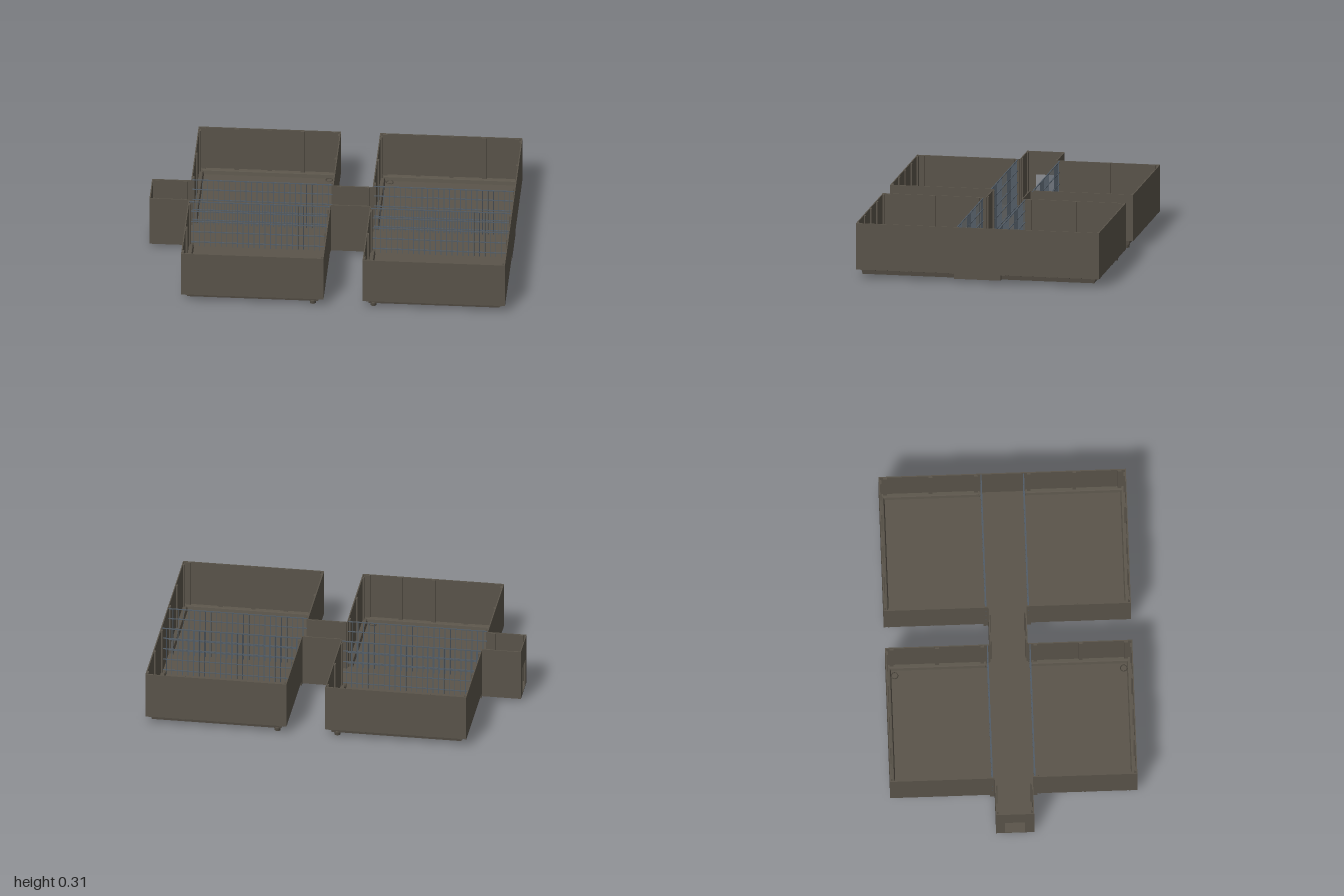
import * as THREE from 'three';

const TOP = 0.31, STEP = 0.05, BASE = 0.02, T = 0.006;
const OUT = 0.68, JAMB = 0.13, HALL = 0.105;

export function createModel() {
  const model = new THREE.Group();
  const concrete = new THREE.MeshStandardMaterial({ color: 0x5a544a, side: THREE.DoubleSide });
  concrete.name = 'brown grey concrete';
  const steel = new THREE.MeshStandardMaterial({ color: 0x525c66 });
  steel.name = 'blue grey steel';

  const add = (parent, name, geo, mat = concrete) => {
    const mesh = new THREE.Mesh(geo, mat);
    mesh.name = name;
    parent.add(mesh);
    return mesh;
  };
  // Box given by its limits on each axis
  const box = (parent, name, xa, xb, ya, yb, za, zb, mat) => {
    const x0 = Math.min(xa, xb), x1 = Math.max(xa, xb), z0 = Math.min(za, zb), z1 = Math.max(za, zb);
    return add(parent, name, new THREE.BoxGeometry(x1 - x0, yb - ya, z1 - z0), mat)
      .position.set((x0 + x1) / 2, (ya + yb) / 2, (z0 + z1) / 2);
  };

  // Stepped skirt running round three sides of a room
  const skirt = (x0, x1, s) => {
    const pos = [], index = [];
    const profile = [[0, STEP], [0.021, 0.046], [0.026, 0.044], [0.032, BASE]];
    for (const [d, y] of profile) {
      const z = s * (OUT - d);
      pos.push(x0 + d, y, s * JAMB, x0 + d, y, z, x1 - d, y, z, x1 - d, y, s * JAMB);
    }
    for (let r = 0; r < profile.length - 1; r++) {
      for (let c = 0; c < 3; c++) {
        const a = r * 4 + c;
        index.push(a, a + 1, a + 5, a, a + 5, a + 4);
      }
    }
    const geo = new THREE.BufferGeometry();
    geo.setAttribute('position', new THREE.Float32BufferAttribute(pos, 3));
    geo.setIndex(index);
    const flat = geo.toNonIndexed();
    flat.computeVertexNormals();
    return flat;
  };

  // Barred screen between a room and the hall
  const screen = (parent, x0, x1, z) => {
    const group = new THREE.Group();
    group.name = 'barredScreen';
    parent.add(group);
    for (const y of [0.05, 0.115, 0.18, 0.245, 0.306]) {
      box(group, 'rail', x0, x1, y - 0.002, y + 0.002, z - 0.003, z + 0.003, steel);
    }
    const n = 26;
    for (let i = 1; i < n; i++) {
      const x = x0 + (x1 - x0) * i / n;
      box(group, 'bar', x - 0.002, x + 0.002, BASE, TOP - 0.002, z - 0.002, z + 0.002, steel);
    }
  };

  const drainProfile = [[0.014, 0], [0.017, 0], [0.017, 0.012], [0.021, 0.015], [0.021, 0.027], [0.016, 0.027], [0.014, 0]]
    .map(([r, y]) => new THREE.Vector2(r, y));

  const room = (x0, x1, s, drainX) => {
    const g = new THREE.Group();
    g.name = 'room';
    model.add(g);
    // Walls
    box(g, 'outerWall', x0, x1, STEP, TOP, s * (OUT - T), s * OUT);
    box(g, 'sideWall', x0, x0 + T, STEP, TOP, s * JAMB, s * OUT);
    box(g, 'sideWall', x1 - T, x1, STEP, TOP, s * JAMB, s * OUT);
    for (const [x, d] of [[x0, 1], [x1, -1]]) {
      box(g, 'jamb', x, x + d * T, BASE, TOP, s * HALL, s * JAMB);
      box(g, 'skirtEnd', x, x + d * 0.032, BASE, STEP, s * (JAMB - T), s * JAMB);
      // Side wall ribs
      for (const z of [0.145, 0.395, 0.645]) {
        box(g, 'rib', x, x + d * 0.015, STEP - 0.002, TOP - 0.002, s * (z - 0.01), s * (z + 0.01));
      }
    }
    // Outer wall ribs
    for (let i = 0; i < 5; i++) {
      const x = x0 + 0.03 + (x1 - x0 - 0.06) * i / 4;
      box(g, 'rib', x - 0.012, x + 0.012, STEP - 0.002, TOP - 0.002, s * (OUT - 0.014), s * OUT);
    }
    // Floor, skirt, drain
    box(g, 'floor', x0 + 0.032, x1 - 0.032, BASE, BASE + 0.004, s * JAMB, s * (OUT - 0.032));
    add(g, 'skirt', skirt(x0, x1, s));
    add(g, 'drain', new THREE.LatheGeometry(drainProfile, 20)).position.set(drainX, 0, s * 0.63);
    screen(g, x0, x1, s * 0.117);
  };

  for (const s of [1, -1]) {
    room(-0.785, 0, s, -0.062);
    room(0.215, 1, s, 0.272);
    // Narrow hall walls with ribs
    for (const [a, b] of [[-1, -0.785], [0, 0.215]]) {
      box(model, 'hallWall', a, b, BASE, TOP, s * (HALL - T), s * HALL);
      for (const x of [a + 0.03, b - 0.03]) {
        box(model, 'hallRib', x - 0.012, x + 0.012, BASE, TOP - 0.002, s * (HALL - 0.013), s * HALL);
      }
    }
  }

  // Hall floor, wider between the rooms
  box(model, 'hallFloor', -1, 1, BASE, BASE + 0.004, -HALL, HALL);
  for (const s of [1, -1]) {
    for (const [a, b] of [[-0.785, 0], [0.215, 1]]) {
      box(model, 'hallFloorEdge', a, b, BASE, BASE + 0.004, s * HALL, s * JAMB);
    }
  }
  // Closed end of the hall
  box(model, 'endWall', 1 - T, 1, BASE, TOP, -HALL, HALL);

  // Entrance wall with a doorway
  const wall = new THREE.Shape([[-HALL, BASE], [HALL, BASE], [HALL, TOP], [-HALL, TOP]].map(p => new THREE.Vector2(...p)));
  wall.holes.push(new THREE.Path([[-0.055, BASE + 0.004], [-0.055, 0.18], [0.055, 0.18], [0.055, BASE + 0.004]].map(p => new THREE.Vector2(...p))));
  const entrance = add(model, 'entranceWall', new THREE.ExtrudeGeometry(wall, { depth: T, bevelEnabled: false }));
  entrance.rotation.y = Math.PI / 2;
  entrance.position.x = -1;

  return model;
}
